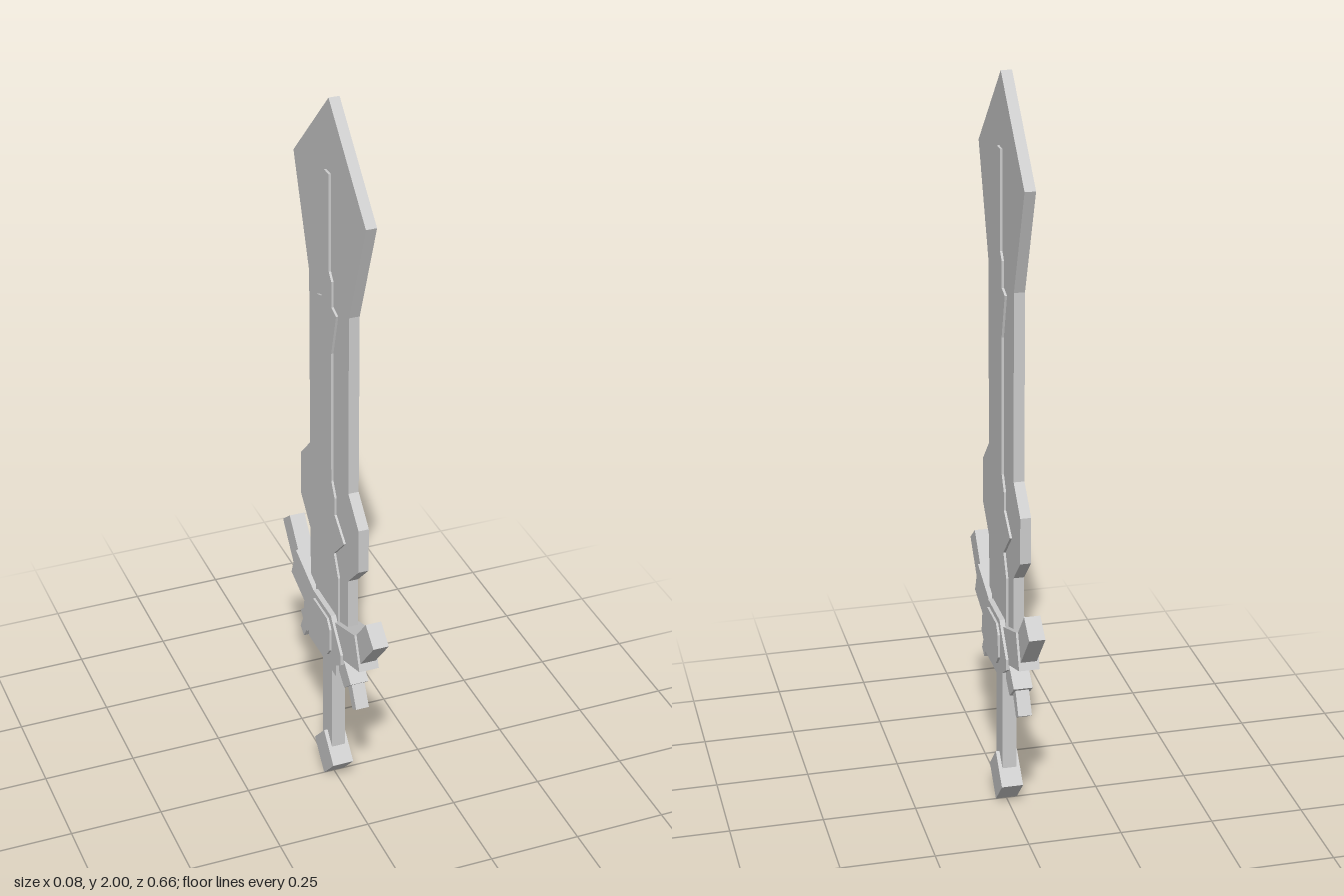
import * as THREE from 'three';

export function createModel() {
  const sword = new THREE.Group();
  sword.name = 'sword';
  const steel = new THREE.MeshStandardMaterial({ color: 0xcccccc });
  steel.name = 'steel grey';

  // Flat plate from a [z, y] outline, centred on x = 0
  function plate(name, points, half) {
    const shape = new THREE.Shape(points.map(([z, y]) => new THREE.Vector2(-z, y)));
    const geometry = new THREE.ExtrudeGeometry(shape, { depth: half * 2, bevelEnabled: false });
    geometry.translate(0, 0, -half).rotateY(Math.PI / 2);
    const mesh = new THREE.Mesh(geometry, steel);
    mesh.name = name;
    sword.add(mesh);
  }

  const flip = (points) => points.map(([z, y]) => [-z, y]);

  // Closes a half outline (top to bottom, z >= 0) with its mirror image
  const mirrored = (points) => {
    const other = flip(points.filter(([z]) => z > 0)).reverse();
    return [...points, ...other];
  };

  // Both sides of a paired part
  function pair(name, points, half) {
    plate(name + 'Front', points, half);
    plate(name + 'Back', flip(points), half);
  }

  // Blade and its stepped central ridge
  plate('blade', mirrored([
    [0, 2], [0.24, 1.765], [0.135, 1.48], [0.135, 0.98], [0.205, 0.91],
    [0.205, 0.785], [0.135, 0.715], [0.135, 0.5],
  ]), 0.014);
  plate('bladeRidge', mirrored([
    [0.016, 1.81], [0.016, 1.55], [0.033, 1.53], [0.033, 1.46], [0.065, 1.45],
    [0.032, 1.33], [0.032, 0.96], [0.055, 0.92], [0.055, 0.87], [0.12, 0.82],
    [0.05, 0.75], [0.08, 0.69], [0.08, 0.5],
  ]), 0.02);

  // Cross guard: centre block, gem, wings and lower prongs
  plate('guardCentre', mirrored([
    [0.065, 0.566], [0.085, 0.54], [0.135, 0.485], [0.135, 0.455], [0.1, 0.43], [0.1, 0.397],
  ]), 0.034);
  plate('guardGem', mirrored([
    [0.05, 0.55], [0.07, 0.525], [0.07, 0.46], [0.05, 0.435],
  ]), 0.04);
  pair('guardWing', [
    [0.06, 0.555], [0.074, 0.55], [0.213, 0.6], [0.249, 0.508], [0.122, 0.466], [0.06, 0.45],
  ], 0.027);
  pair('guardWingTip', [
    [0.275, 0.672], [0.328, 0.63], [0.238, 0.524], [0.16, 0.55], [0.21, 0.597],
  ], 0.021);
  pair('guardProng', [
    [0.12, 0.48], [0.185, 0.423], [0.138, 0.382], [0.1, 0.413], [0.08, 0.44],
  ], 0.025);
  pair('guardProngTip', [
    [0.173, 0.415], [0.206, 0.355], [0.18, 0.339], [0.148, 0.39], [0.13, 0.42],
  ], 0.018);

  // Grip and diamond pommel
  plate('grip', mirrored([[0.034, 0.42], [0.034, 0.09]]), 0.019);
  plate('pommel', mirrored([[0, 0.145], [0.07, 0.073], [0, 0]]), 0.029);

  return sword;
}
